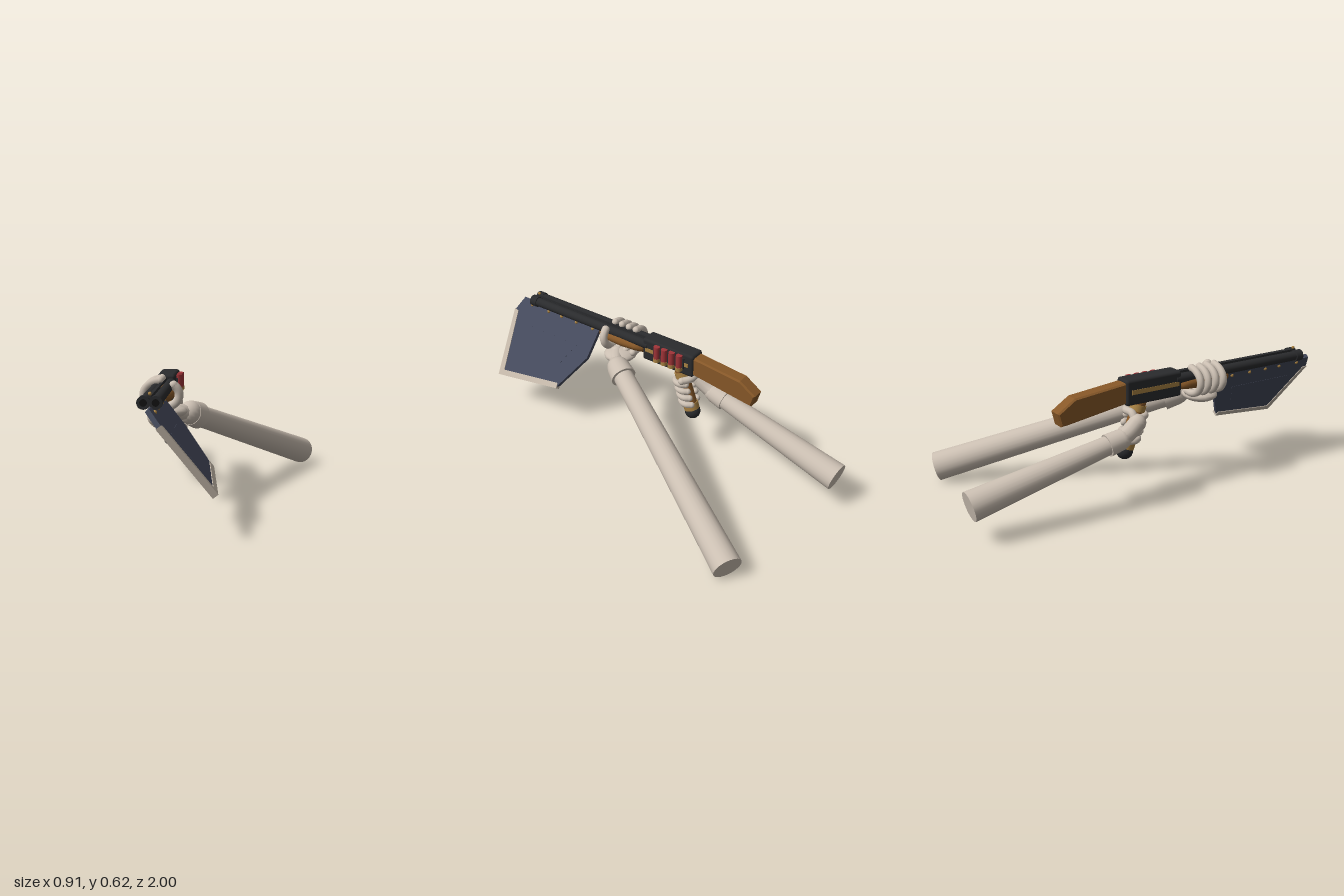
import * as THREE from 'three';
import { RoundedBoxGeometry } from 'three/addons/geometries/RoundedBoxGeometry.js';

const mat = (name, color) => {
  const m = new THREE.MeshStandardMaterial({ color });
  m.name = name;
  return m;
};
const V = (x, y, z) => new THREE.Vector3(x, y, z);
const UP = V(0, 1, 0);
const GX = -0.318; // gun centre line

export function createModel() {
  const root = new THREE.Group();
  root.name = 'bladedShotgunWithArms';
  const skin = mat('paleSkin', 0xcbbfb2);
  const metal = mat('gunMetal', 0x2a2b2d);
  const bore = mat('boreBlack', 0x121212);
  const wood = mat('walnut', 0x875828);
  const brass = mat('brass', 0xa98243);
  const red = mat('shellRed', 0xa03438);
  const steel = mat('blueSteel', 0x454a5c);
  const edge = mat('boneEdge', 0xc3b7a8);

  const group = (name, parent = root) => {
    const g = new THREE.Group();
    g.name = name;
    parent.add(g);
    return g;
  };
  const add = (parent, name, geo, material, pos) => {
    const m = new THREE.Mesh(geo, material);
    m.name = name;
    if (pos) m.position.copy(pos);
    parent.add(m);
    return m;
  };
  // tapered cylinder from a (radius ra) to b (radius rb)
  const rod = (parent, name, a, b, ra, rb, material, seg = 20) => {
    const d = b.clone().sub(a);
    const m = add(parent, name, new THREE.CylinderGeometry(rb, ra, d.length(), seg), material,
      a.clone().add(b).multiplyScalar(0.5));
    m.quaternion.setFromUnitVectors(UP, d.normalize());
    return m;
  };
  const ball = (parent, name, p, r, material, scale) => {
    const m = add(parent, name, new THREE.SphereGeometry(r, 18, 12), material, p);
    if (scale) m.scale.set(...scale);
    return m;
  };
  // round-ended tube through points
  const limb = (parent, name, pts, r) => {
    const g = group(name, parent);
    add(g, name + 'Tube', new THREE.TubeGeometry(new THREE.CatmullRomCurve3(pts), 24, r, 10), skin);
    ball(g, name + 'Tip', pts[pts.length - 1], r, skin);
    ball(g, name + 'Root', pts[0], r, skin);
  };
  const arc = (from, to, f, n = 9) => Array.from({ length: n }, (_, i) =>
    f(THREE.MathUtils.degToRad(from + (to - from) * i / (n - 1))));

  // ---- gun ----
  const gun = group('gun');
  const barrels = group('barrels', gun);
  for (const s of [-1, 1]) {
    const x = GX + s * 0.026;
    rod(barrels, 'barrel', V(x, 0.574, 0.1), V(x, 0.574, 0.875), 0.024, 0.024, metal);
    rod(barrels, 'muzzleRing', V(x, 0.574, 0.845), V(x, 0.574, 0.885), 0.029, 0.029, metal);
    rod(barrels, 'bore', V(x, 0.574, 0.88), V(x, 0.574, 0.887), 0.016, 0.016, bore);
  }
  add(barrels, 'topRib', new THREE.BoxGeometry(0.014, 0.012, 0.74), metal, V(GX, 0.597, 0.5));
  ball(barrels, 'frontSight', V(GX, 0.61, 0.86), 0.008, brass);

  add(gun, 'receiver', new RoundedBoxGeometry(0.092, 0.125, 0.31, 2, 0.014), metal, V(GX, 0.553, -0.025));
  for (const s of [-1, 1])
    add(gun, 'sideInlay', new THREE.BoxGeometry(0.006, 0.022, 0.265), brass, V(GX + s * 0.045, 0.555, -0.02));
  add(gun, 'shellHolder', new THREE.BoxGeometry(0.01, 0.06, 0.185), metal, V(GX + 0.049, 0.56, -0.037));

  const shells = group('spareShells', gun);
  for (let i = 0; i < 4; i++) {
    const z = 0.032 - i * 0.0455;
    rod(shells, 'shellCase', V(-0.262, 0.535, z), V(-0.262, 0.606, z), 0.017, 0.017, red, 14);
    rod(shells, 'shellBase', V(-0.262, 0.518, z), V(-0.262, 0.537, z), 0.0185, 0.0185, brass, 14);
  }

  const shapeOf = (pts) => new THREE.Shape(pts.map(([a, b]) => new THREE.Vector2(a, b)));
  const stockGeo = new THREE.ExtrudeGeometry(
    shapeOf([[-0.16, 0.597], [-0.445, 0.568], [-0.528, 0.514], [-0.514, 0.46], [-0.476, 0.464], [-0.16, 0.51]]),
    { depth: 0.056, bevelThickness: 0.008, bevelSize: 0.007, bevelSegments: 1 });
  stockGeo.translate(0, 0, -0.028).rotateY(-Math.PI / 2);
  add(gun, 'stock', stockGeo, wood, V(GX, 0, 0));

  const foreProfile = [[0, 0.13], [0.045, 0.135], [0.055, 0.18], [0.062, 0.27], [0.058, 0.36], [0.044, 0.41], [0.02, 0.428], [0, 0.43]];
  const foreGeo = new THREE.LatheGeometry(foreProfile.map(([r, z]) => new THREE.Vector2(r, z)), 24);
  foreGeo.rotateX(Math.PI / 2).scale(1, 0.63, 1);
  add(gun, 'foreGrip', foreGeo, wood, V(GX, 0.542, 0));

  // pistol grip with collars and round pommel
  const gripAt = (y) => V(GX, y, -0.08 - 0.36 * (0.49 - y));
  const grip = group('pistolGrip', gun);
  rod(grip, 'gripShaft', gripAt(0.51), gripAt(0.28), 0.032, 0.036, wood);
  rod(grip, 'upperCollar', gripAt(0.475), gripAt(0.445), 0.038, 0.038, brass);
  rod(grip, 'lowerCollar', gripAt(0.305), gripAt(0.27), 0.041, 0.04, brass);
  ball(grip, 'pommel', gripAt(0.257), 0.041, metal);

  // ---- slanted blade: local x runs along the gun, local y down the blade ----
  const blade = group('blade', gun);
  blade.matrixAutoUpdate = true;
  blade.quaternion.setFromRotationMatrix(new THREE.Matrix4().makeBasis(
    V(0, 0, 1), V(0.61, -0.792, 0).normalize(), V(0.792, 0.61, 0).normalize()));
  blade.position.set(-0.32, 0.552, 0);
  const plate = (name, pts, t, material) => {
    const g = new THREE.ExtrudeGeometry(shapeOf(pts), { depth: t, bevelEnabled: false });
    add(blade, name, g.translate(0, 0, -t / 2), material);
  };
  plate('bladePlate', [[0.96, 0], [0.993, 0.08], [0.934, 0.446], [0.556, 0.392], [0.44, 0.186], [0.43, 0]], 0.022, steel);
  plate('bladePanel', [[0.9, 0.14], [0.885, 0.29], [0.59, 0.27], [0.53, 0.14]], 0.024, steel);
  plate('cuttingEdge', [[0.997, 0.08], [0.944, 0.456], [0.552, 0.4], [0.557, 0.37], [0.918, 0.421], [0.971, 0.085]], 0.029, edge);
  for (const z of [0.895, 0.777, 0.686, 0.584, 0.472])
    for (const s of [-1, 1]) ball(blade, 'rivet', V(z, 0.028, s * 0.011), 0.009, brass);

  // ---- left arm, holding the fore grip ----
  const leftArm = group('leftArm');
  const lw = V(-0.175, 0.432, 0.195), ls = V(0.39, 0.075, -0.83);
  const ld = ls.clone().sub(lw).normalize();
  const along = (p, d, t) => p.clone().addScaledVector(d, t);
  rod(leftArm, 'forearm', lw, ls, 0.052, 0.073, skin, 24);
  rod(leftArm, 'cuff', along(lw, ld, -0.035), along(lw, ld, 0.035), 0.06, 0.066, skin, 24);
  ball(leftArm, 'wrist', along(lw, ld, -0.035), 0.058, skin);
  limb(leftArm, 'handHeel', [along(lw, ld, -0.03), V(-0.225, 0.45, 0.26), V(-0.28, 0.458, 0.3)], 0.038);
  ball(leftArm, 'palm', V(-0.295, 0.458, 0.285), 0.1, skin, [0.95, 0.34, 0.85]);
  const wrap = (z, dz) => (a) => V(-0.32 + 0.085 * Math.cos(a), 0.545 + 0.064 * Math.sin(a), z + dz * Math.sin(a));
  for (const z of [0.21, 0.255, 0.3, 0.345])
    limb(leftArm, 'finger', arc(285, 95, wrap(z, 0)), 0.018);
  limb(leftArm, 'thumb', arc(-85, 45, wrap(0.352, 0.008)), 0.021);

  // ---- right arm, holding the pistol grip ----
  const rightArm = group('rightArm');
  const rw = V(-0.4, 0.348, -0.265), rs = V(-0.36, 0.182, -0.985);
  const rd = rs.clone().sub(rw).normalize();
  rod(rightArm, 'forearm', rw, rs, 0.044, 0.071, skin, 24);
  rod(rightArm, 'cuff', along(rw, rd, -0.03), along(rw, rd, 0.045), 0.05, 0.054, skin, 24);
  ball(rightArm, 'wrist', along(rw, rd, -0.03), 0.048, skin);
  limb(rightArm, 'palm', [along(rw, rd, -0.01), V(-0.4, 0.375, -0.2), V(-0.39, 0.415, -0.14)], 0.042);
  for (const y of [0.425, 0.388, 0.352, 0.315]) {
    const c = gripAt(y);
    limb(rightArm, 'finger', arc(205, -45, (a) => V(c.x + 0.045 * Math.cos(a), y, c.z + 0.045 * Math.sin(a))), 0.0165);
  }
  limb(rightArm, 'thumb', [V(-0.385, 0.43, -0.15), V(-0.36, 0.455, -0.15), V(-0.31, 0.455, -0.15), V(-0.27, 0.45, -0.12)], 0.019);

  return root;
}
